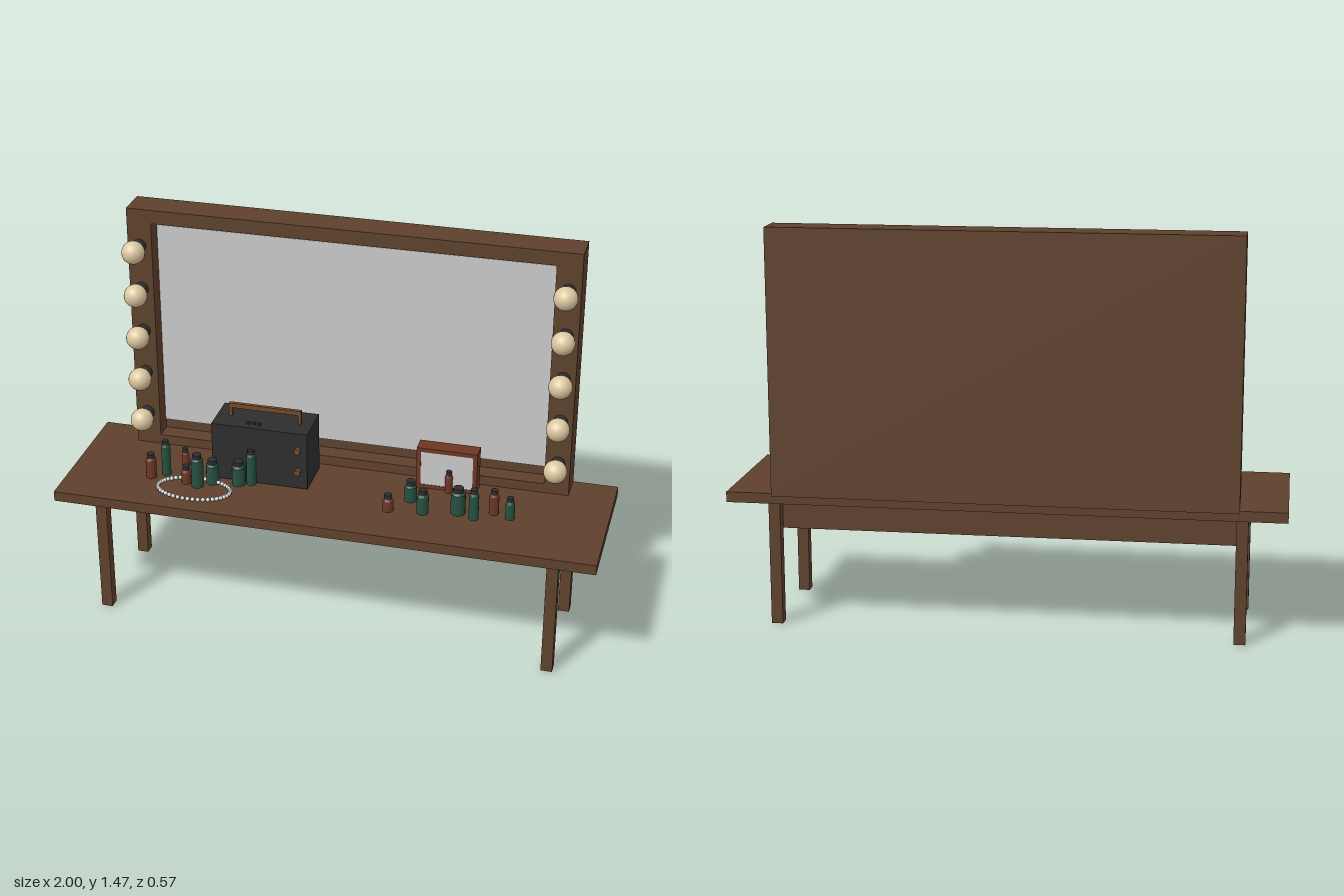
import * as THREE from 'three';

const mat = (name, color) => {
  const m = new THREE.MeshStandardMaterial({ color });
  m.name = name;
  return m;
};

export function createModel() {
  const root = new THREE.Group();
  root.name = 'dressingTable';
  const wood = mat('brown wood', 0x5e412c);
  const glass = mat('mirror grey', 0xc9c9c9);
  const cream = mat('bulb cream', 0xdcc7a0);
  const black = mat('charcoal', 0x2d2d2d);
  const red = mat('rust red', 0x6f3625);
  const green = mat('bottle green', 0x26503f);
  const tan = mat('handle brown', 0x704a2b);
  const pearl = mat('pearl', 0xd3d8da);

  const add = (name, geo, m, x, y, z, parent = root) => {
    const mesh = new THREE.Mesh(geo, m);
    mesh.name = name;
    mesh.position.set(x, y, z);
    parent.add(mesh);
    return mesh;
  };
  // Box given by its minimum and maximum on each axis
  const box = (name, m, x0, x1, y0, y1, z0, z1, parent = root) =>
    add(name, new THREE.BoxGeometry(x1 - x0, y1 - y0, z1 - z0), m,
      (x0 + x1) / 2, (y0 + y1) / 2, (z0 + z1) / 2, parent);
  const group = (name) => {
    const g = new THREE.Group();
    g.name = name;
    root.add(g);
    return g;
  };
  // Rectangular frame with a rectangular opening, extruded from z0 to z1
  const frame = (name, m, [x0, x1, y0, y1], [a0, a1, b0, b1], z0, z1, parent) => {
    const rect = (C, l, r, b, t) => {
      const p = new C();
      p.moveTo(l, b); p.lineTo(r, b); p.lineTo(r, t); p.lineTo(l, t); p.closePath();
      return p;
    };
    const s = rect(THREE.Shape, x0, x1, y0, y1);
    s.holes.push(rect(THREE.Path, a0, a1, b0, b1));
    return add(name, new THREE.ExtrudeGeometry(s, { depth: z1 - z0, bevelEnabled: false }), m, 0, 0, z0, parent);
  };

  // Table
  const table = group('table');
  box('tableTop', wood, -1, 1, 0.47, 0.508, -0.275, 0.285, table);
  box('backApron', wood, -0.825, 0.825, 0.352, 0.47, -0.17, -0.13, table);
  for (const s of [-1, 1]) for (const z of [0.209, -0.193])
    add('leg', new THREE.BoxGeometry(0.042, 0.47, 0.042), wood, s * 0.841, 0.235, z, table);

  // Large mirror
  const mirror = group('vanityMirror');
  frame('mirrorFrame', wood, [-0.832, 0.832, 0.508, 1.465], [-0.74, 0.74, 0.545, 1.413], -0.25, -0.165, mirror);
  box('backPanel', wood, -0.832, 0.832, 0.5, 1.465, -0.285, -0.25, mirror);
  box('mirrorBacking', wood, -0.741, 0.741, 0.544, 1.414, -0.25, -0.232, mirror);
  box('mirrorGlass', glass, -0.739, 0.739, 0.583, 1.386, -0.232, -0.225, mirror);

  // Bulbs down both sides
  for (const s of [-1, 1]) for (let i = 0; i < 5; i++) {
    const y = 0.639 + i * 0.171;
    const socket = add('bulbSocket', new THREE.CylinderGeometry(0.026, 0.026, 0.07, 20), black, s * 0.787, y, -0.131, mirror);
    socket.rotation.x = Math.PI / 2;
    add('bulb', new THREE.SphereGeometry(0.043, 20, 14), cream, s * 0.787, y, -0.098, mirror);
  }

  // Portable radio
  const radio = group('radio');
  box('radioBody', black, -0.466, -0.102, 0.512, 0.738, -0.129, 0.039, radio);
  box('handleBar', tan, -0.42, -0.145, 0.772, 0.79, -0.05, -0.036, radio);
  for (const x of [-0.414, -0.151])
    box('handlePost', tan, x - 0.006, x + 0.006, 0.738, 0.772, -0.05, -0.036, radio);
  for (const y of [0.584, 0.671])
    add('knob', new THREE.CylinderGeometry(0.012, 0.012, 0.018, 14), tan, -0.137, y, 0.047, radio).rotation.x = Math.PI / 2;
  for (let i = 0; i < 3; i++)
    add('button', new THREE.CylinderGeometry(0.007, 0.007, 0.008, 10), black, -0.333 + i * 0.021, 0.742, 0.007, radio);

  // Small framed mirror
  const small = group('smallMirror');
  frame('smallFrame', red, [0.278, 0.504, 0.508, 0.673], [0.294, 0.488, 0.522, 0.657], -0.15, -0.088, small);
  box('smallBacking', red, 0.293, 0.489, 0.521, 0.658, -0.15, -0.098, small);
  box('smallGlass', glass, 0.294, 0.488, 0.522, 0.657, -0.098, -0.09, small);

  // Bottles: x, z, radius, top height, material
  const bottles = group('bottles');
  [[-0.69, 0.086, 0.02, 0.605, red], [-0.642, 0.053, 0.017, 0.65, green],
    [-0.595, -0.03, 0.014, 0.58, red], [-0.55, 0.096, 0.018, 0.58, red],
    [-0.503, 0.107, 0.023, 0.64, green], [-0.456, 0.07, 0.024, 0.605, green],
    [-0.36, 0.057, 0.025, 0.605, green], [-0.315, 0.043, 0.018, 0.65, green],
    [0.217, 0.1, 0.02, 0.573, red], [0.28, 0.01, 0.023, 0.59, green],
    [0.341, 0.086, 0.022, 0.602, green], [0.402, -0.082, 0.014, 0.595, red],
    [0.465, 0.055, 0.027, 0.612, green], [0.527, 0.08, 0.018, 0.628, green],
    [0.591, 0.027, 0.018, 0.606, red], [0.653, 0.047, 0.017, 0.594, green],
  ].forEach(([x, z, r, top, m]) => {
    const h = top - 0.508, cap = 0.016;
    const profile = [[0, 0], [r, 0], [r, h - cap - 0.008], [r * 0.75, h - cap], [0, h - cap]]
      .map(([a, b]) => new THREE.Vector2(a, b));
    const body = new THREE.LatheGeometry(profile, 14).toNonIndexed();
    body.computeVertexNormals();
    add('bottle', body, m, x, 0.508, z, bottles);
    add('bottleCap', new THREE.CylinderGeometry(r * 0.72, r * 0.72, cap, 14), black, x, top - cap / 2, z, bottles);
  });

  // Bead necklace lying in an oval
  const necklace = group('necklace');
  const bead = new THREE.SphereGeometry(0.008, 10, 8);
  for (let i = 0; i < 44; i++) {
    const a = (i / 44) * Math.PI * 2;
    add('bead', bead, pearl, -0.503 + Math.cos(a) * 0.137, 0.519, 0.15 + Math.sin(a) * 0.077, necklace);
  }
  return root;
}
